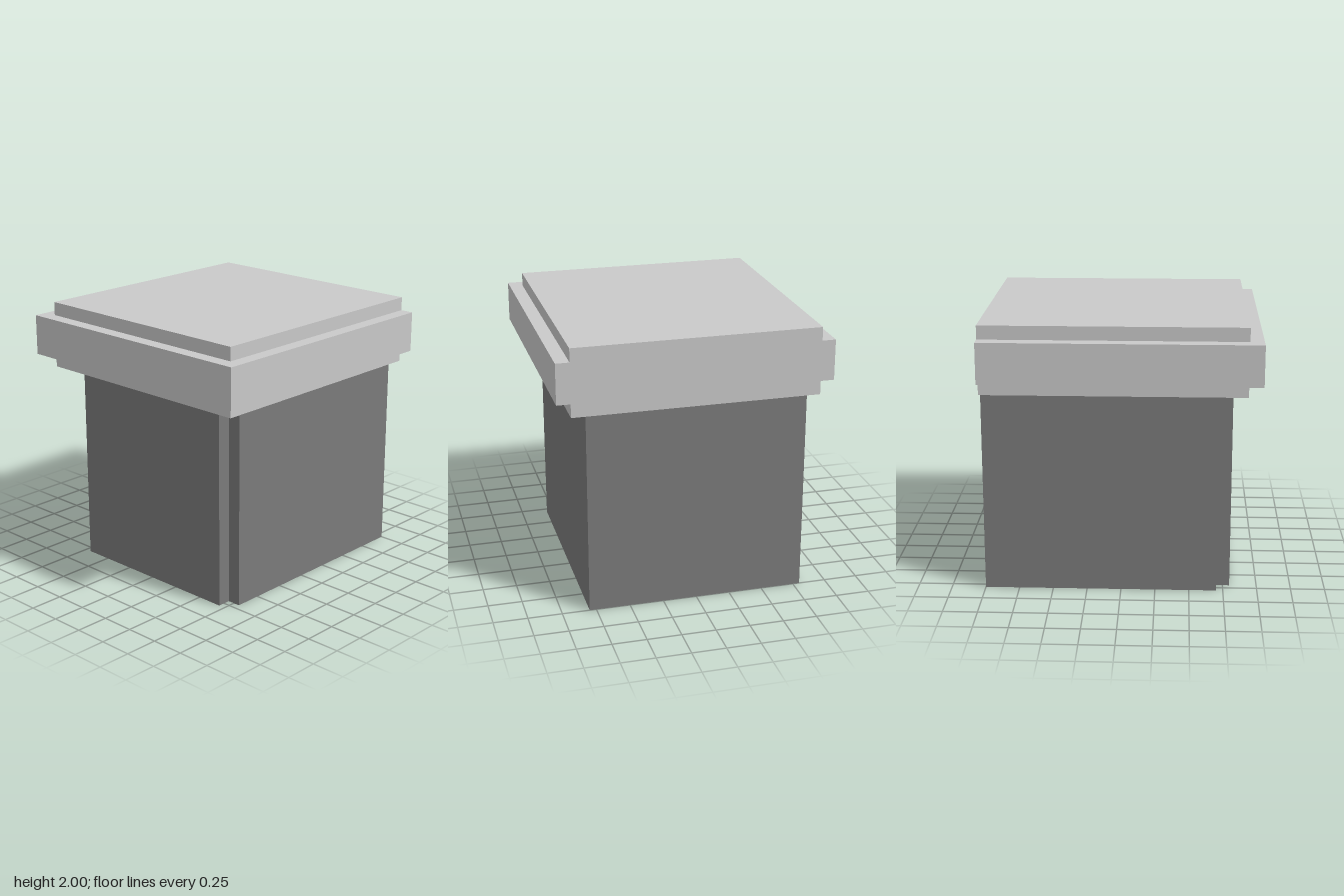
import * as THREE from 'three';

export function createModel() {
  const model = new THREE.Group();
  model.name = 'pillar';

  const stone = new THREE.MeshStandardMaterial({ color: 0xc9c9c9 });
  stone.name = 'light stone';
  const dark = new THREE.MeshStandardMaterial({ color: 0x7b7b7b });
  dark.name = 'dark stone';

  const BACK = -1; // every part is flush with this back plane

  // Shaft: square footprint with the two front corners notched (shape y is -z)
  const footprint = new THREE.Shape([
    [-0.8, 1], [-0.8, -0.7], [-0.7, -0.7], [-0.7, -0.8],
    [0.7, -0.8], [0.7, -0.7], [0.8, -0.7], [0.8, 1],
  ].map(([x, y]) => new THREE.Vector2(x, y)));
  const shaftGeometry = new THREE.ExtrudeGeometry(footprint, { depth: 1.5, bevelEnabled: false });
  shaftGeometry.rotateX(-Math.PI / 2);
  const shaft = new THREE.Mesh(shaftGeometry, dark);
  shaft.name = 'shaft';
  model.add(shaft);

  // Capital: three stacked slabs, overhanging at the front and sides
  const capital = new THREE.Group();
  capital.name = 'capital';
  const addSlab = (name, reach, bottom, top) => {
    const depth = reach - BACK;
    const slab = new THREE.Mesh(new THREE.BoxGeometry(2 * reach, top - bottom, depth), stone);
    slab.position.set(0, (bottom + top) / 2, BACK + depth / 2);
    slab.name = name;
    capital.add(slab);
  };
  addSlab('lowerStep', 0.9, 1.5, 1.6);
  addSlab('wideSlab', 1, 1.6, 1.9);
  addSlab('topStep', 0.9, 1.9, 2);
  model.add(capital);

  return model;
}
